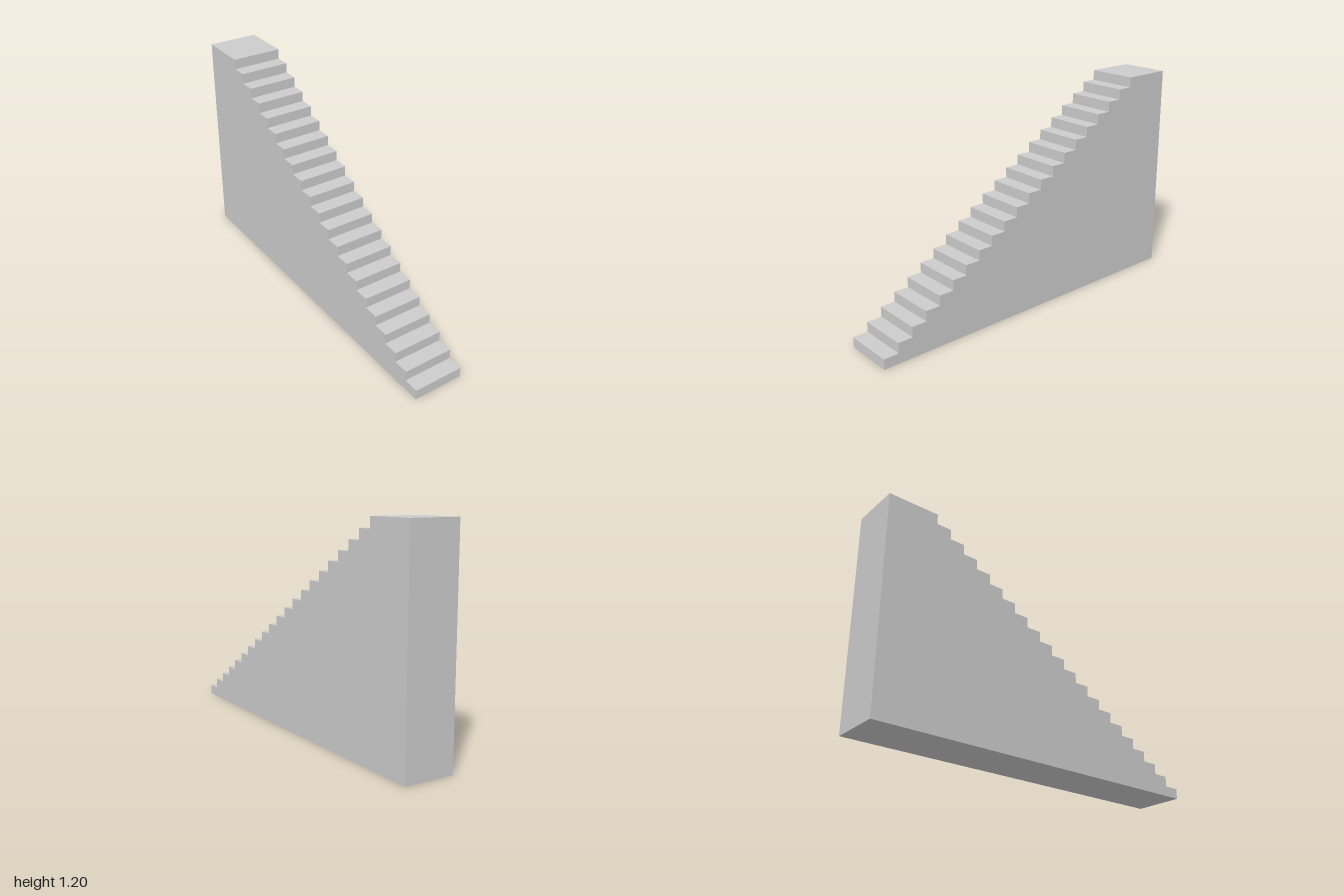
import * as THREE from 'three';

const STEPS = 21;
const RISE = 1.2 / STEPS;
const TREAD = 0.6 / 7;
const WIDTH = 2 / 7;

export function createModel() {
  const group = new THREE.Group();
  group.name = 'staircase';

  // Side profile: x runs along the depth (front at +1), y is height
  const profile = new THREE.Shape();
  profile.moveTo(-1, 0);
  profile.lineTo(1, 0);
  for (let i = 0; i < STEPS; i++) {
    const front = 1 - i * TREAD;
    const back = i === STEPS - 1 ? -1 : front - TREAD; // last tread is the landing
    profile.lineTo(front, (i + 1) * RISE);
    profile.lineTo(back, (i + 1) * RISE);
  }
  profile.closePath();

  // Solid flight of steps with landing, extruded across the width
  const geometry = new THREE.ExtrudeGeometry(profile, { depth: WIDTH, bevelEnabled: false });
  geometry.translate(0, 0, -WIDTH / 2);
  geometry.rotateY(-Math.PI / 2);

  const material = new THREE.MeshStandardMaterial({ color: 0xcccccc, flatShading: true });
  const stairs = new THREE.Mesh(geometry, material);
  stairs.name = 'solidStairFlight';
  group.add(stairs);

  return group;
}
